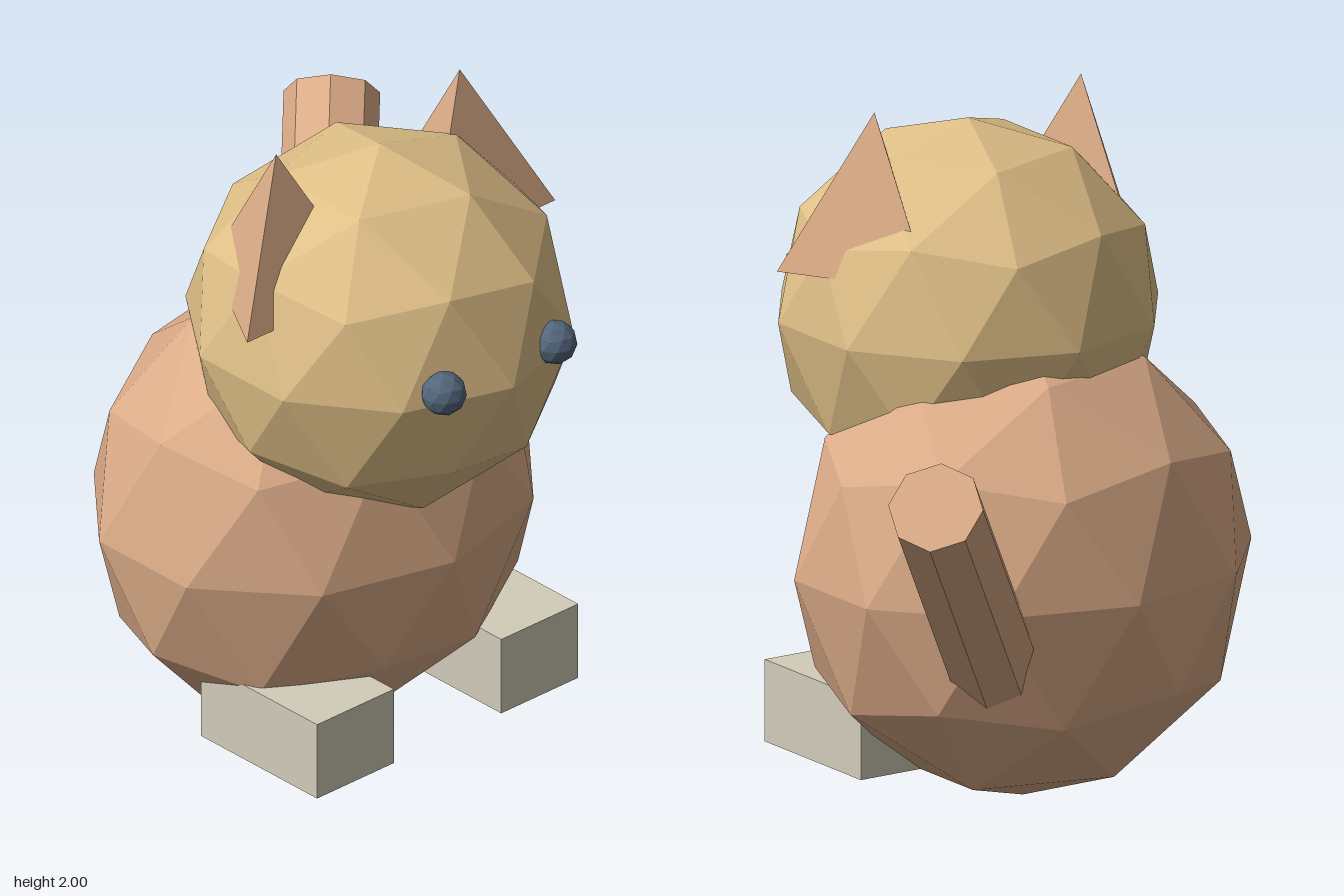
import * as THREE from 'three';

const paint = (name, color) => {
  const m = new THREE.MeshStandardMaterial({ color, flatShading: true });
  m.name = name;
  return m;
};

// Faceted ball of 80 triangles with a corner at each pole and an upper-ring corner toward +x
function facetedBall(rx, ry, rz) {
  const g = new THREE.IcosahedronGeometry(1, 1);
  g.rotateX(-Math.atan((1 + Math.sqrt(5)) / 2));
  g.rotateY(Math.PI / 2);
  return g.scale(rx, ry, rz);
}

export function createModel() {
  const model = new THREE.Group();
  const peach = paint('peach fur', 0xdcac88);
  const sand = paint('sand fur', 0xdfbf87);
  const stone = paint('pale stone', 0xd2ccba);
  const slate = paint('slate blue', 0x54667c);

  const add = (name, geometry, material, x, y, z) => {
    const mesh = new THREE.Mesh(geometry, material);
    mesh.name = name;
    mesh.position.set(x, y, z);
    model.add(mesh);
    return mesh;
  };

  const midX = -0.197; // the tail pushes the animal off centre

  add('body', facetedBall(0.689, 0.69, 0.585), peach, midX, 0.69, 0.105);
  add('head', facetedBall(0.557, 0.557, 0.557), sand, midX, 1.36, 0.378);

  // Paired parts
  for (const [side, s] of [['left', 1], ['right', -1]]) {
    add(side + 'Eye', facetedBall(0.066, 0.064, 0.066), slate, midX + s * 0.212, 1.4, 0.873);
    const ear = add(side + 'Ear', new THREE.ConeGeometry(0.275, 0.46, 3), peach, midX + s * 0.352, 1.77, 0.33);
    ear.rotation.y = Math.PI;
    add(side + 'Foot', new THREE.BoxGeometry(0.295, 0.24, 0.48), stone, midX + s * 0.353, 0.225, 0.42);
  }

  // Tail rising backward to the left
  const tip = new THREE.Vector3(0.735, 1.21, -0.827);
  const dir = new THREE.Vector3(1, 1.15, -1).normalize();
  const length = 1.15;
  const tail = add('tail', new THREE.CylinderGeometry(0.136, 0.136, length, 8), peach, 0, 0, 0);
  tail.position.copy(tip).addScaledVector(dir, -length / 2);
  tail.quaternion.setFromUnitVectors(new THREE.Vector3(0, 1, 0), dir);

  return model;
}
